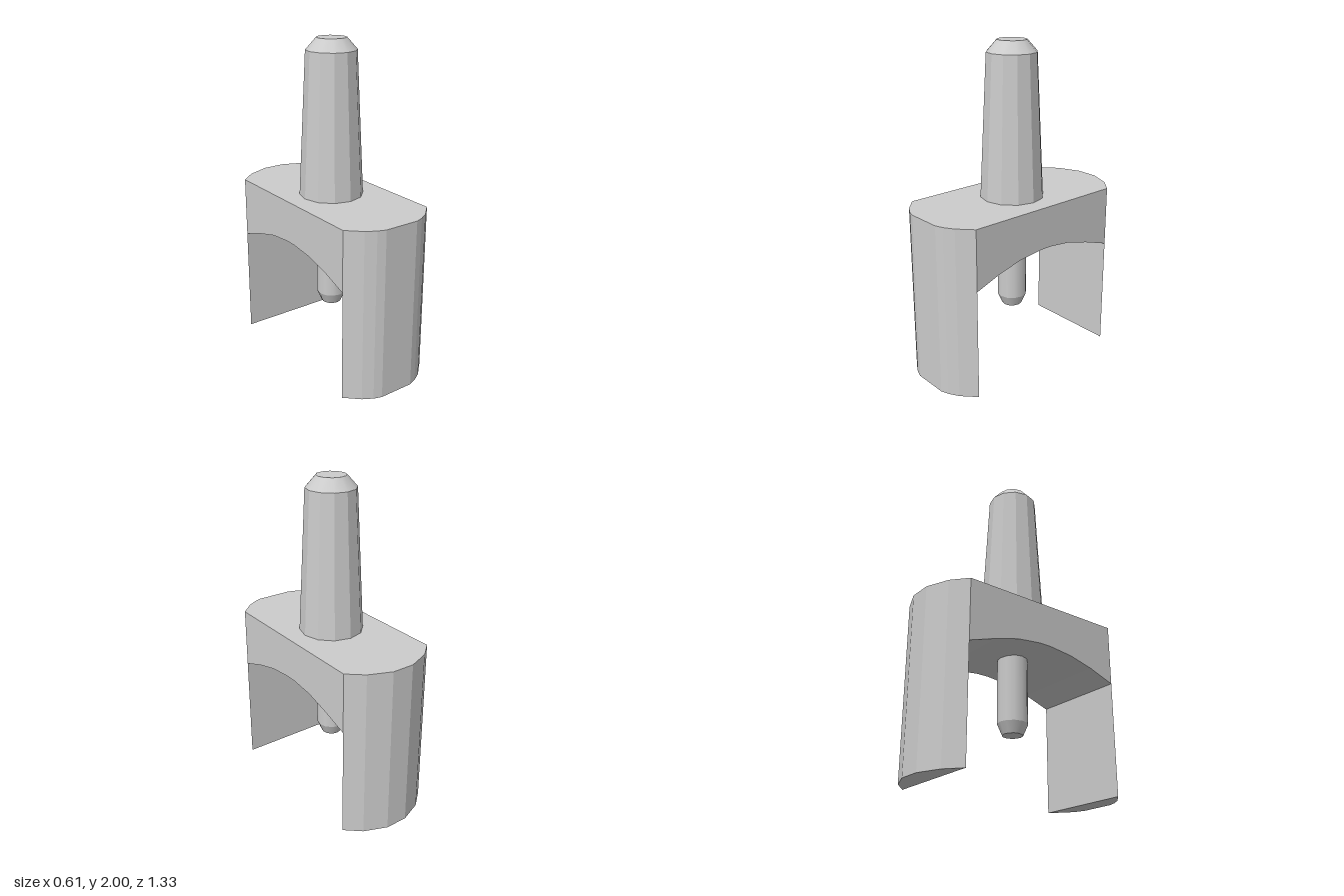
import * as THREE from 'three';

const flat = new THREE.MeshStandardMaterial({ color: 0xcccccc, flatShading: true });
const smooth = new THREE.MeshStandardMaterial({ color: 0xcccccc });

const W = 0.305;      // half width of the body
const TOP = 1.06;     // top of the bridge
const FRONT = 0.53, BACK = -0.525;   // inner faces of the legs
const AXIS_Z = 0.004; // peg and pin axis

function outline(points) {
  return new THREE.Shape(points.map(([x, y]) => new THREE.Vector2(x, y)));
}

function add(group, name, geometry, material) {
  const mesh = new THREE.Mesh(geometry, material);
  mesh.name = name;
  group.add(mesh);
  return mesh;
}

// Leg: faceted rounded end in plan, extruded upwards. half = [x, z] points on the +x side
function legGeometry(half) {
  const plan = [...half, ...half.map(([x, z]) => [-x, z]).reverse()];
  const shape = outline(plan.map(([x, z]) => [x, -z]));
  const g = new THREE.ExtrudeGeometry(shape, { depth: TOP, bevelEnabled: false });
  return g.rotateX(-Math.PI / 2);
}

// Bridge: side profile with an arched underside, extruded across the width
function bridgeGeometry() {
  const shape = outline([
    [FRONT, TOP], [BACK, TOP],
    [BACK, 0.685], [-0.35, 0.742], [-0.19, 0.785], [-0.04, 0.802],
    [0.045, 0.802], [0.2, 0.785], [0.36, 0.745], [FRONT, 0.685],
  ]);
  const g = new THREE.ExtrudeGeometry(shape, { depth: 2 * W, bevelEnabled: false });
  return g.rotateY(-Math.PI / 2).translate(W, 0, 0);
}

// Round section between two heights
function frustum(rTop, rBottom, y0, y1, sides, open = true) {
  return new THREE.CylinderGeometry(rTop, rBottom, y1 - y0, sides, 1, open)
    .translate(0, (y0 + y1) / 2, AXIS_Z);
}

function disc(r, y, sides, up) {
  return new THREE.CircleGeometry(r, sides)
    .rotateZ(Math.PI / 2)
    .rotateX(up ? -Math.PI / 2 : Math.PI / 2)
    .translate(0, y, AXIS_Z);
}

export function createModel() {
  const model = new THREE.Group();
  model.name = 'forkWithPeg';

  // Forked body
  const body = new THREE.Group();
  body.name = 'body';
  add(body, 'frontLeg', legGeometry(
    [[W, FRONT], [0.22, 0.61], [0.16, 0.645], [0.11, 0.662]]), flat);
  add(body, 'backLeg', legGeometry(
    [[W, BACK], [0.21, -0.608], [0.07, -0.665]]), flat);
  add(body, 'bridge', bridgeGeometry(), flat);

  // Tapered peg on top: faceted shaft, soft chamfer, flat end
  const peg = new THREE.Group();
  peg.name = 'peg';
  add(peg, 'pegShaft', frustum(0.152, 0.195, TOP, 1.93, 12), flat);
  add(peg, 'pegChamfer', frustum(0.09, 0.152, 1.93, 2, 12), smooth);
  add(peg, 'pegEnd', disc(0.09, 2, 12, true), flat);

  // Pin hanging under the arch
  const pin = new THREE.Group();
  pin.name = 'pin';
  add(pin, 'pinShaft', frustum(0.092, 0.092, 0.4, 0.82, 12), smooth);
  add(pin, 'pinChamfer', frustum(0.092, 0.062, 0.332, 0.4, 12), smooth);
  add(pin, 'pinEnd', disc(0.062, 0.332, 12, false), flat);

  model.add(body, peg, pin);
  return model;
}
